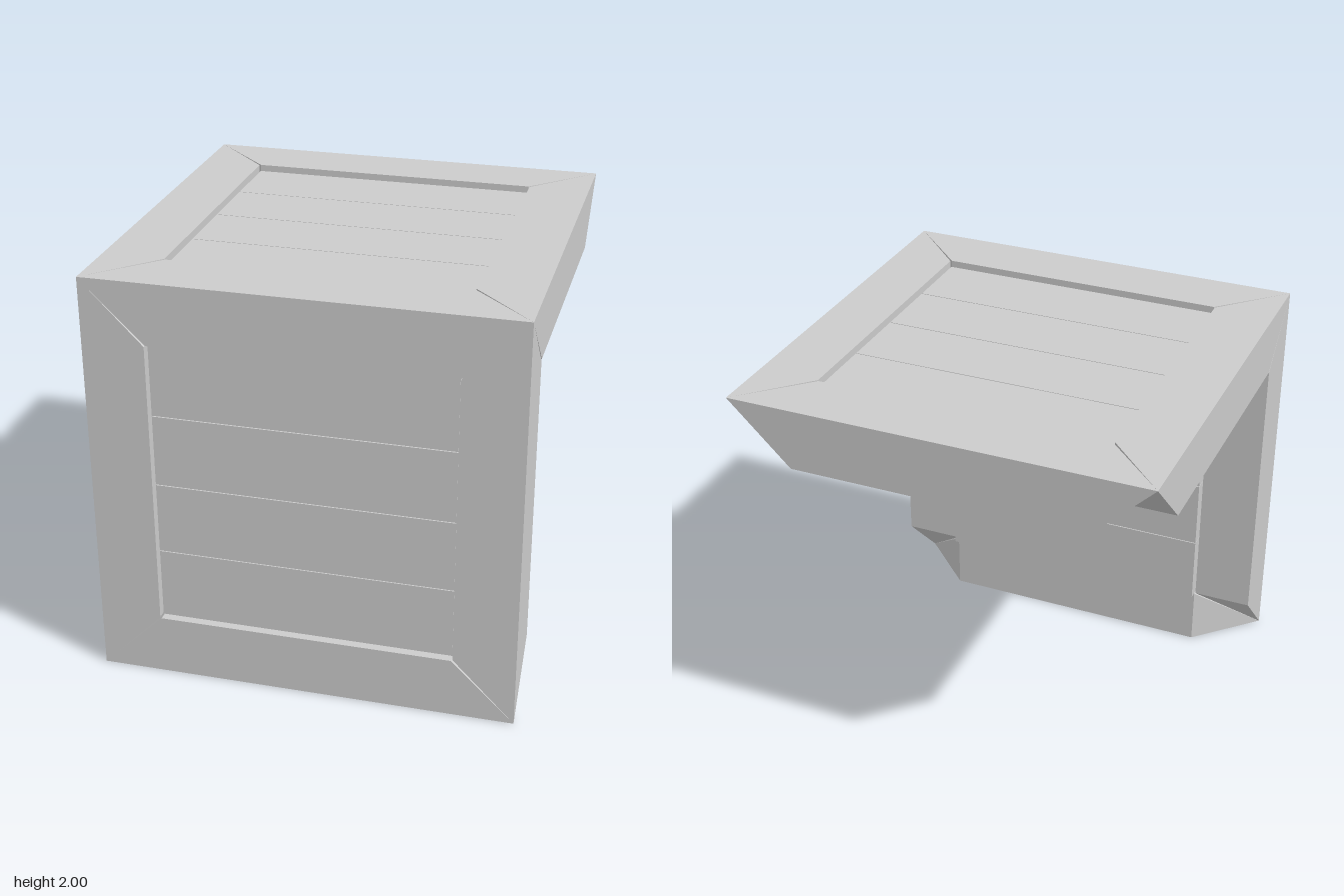
import * as THREE from 'three';
import { ConvexGeometry } from 'three/addons/geometries/ConvexGeometry.js';

const INNER = 0.706; // inner faces of the frame bars
const END = 0.7;     // where the inner edges of a bar stop
const RECESS = 0.97; // outer face of the planks
const BACK = 0.66;   // inner face of the planks

export function createModel() {
  const group = new THREE.Group();
  const material = new THREE.MeshStandardMaterial({ color: 0xcccccc, flatShading: true });

  const add = (name, geometry) => {
    const mesh = new THREE.Mesh(geometry, material);
    mesh.name = name;
    group.add(mesh);
    return mesh;
  };

  // Bar on one edge of a cube: the outer edge runs corner to corner,
  // the other three edges are shorter, which mitres both ends.
  const addBar = (name, axis, sideA, sideB) => {
    const points = [];
    for (const end of [-1, 1]) {
      for (const a of [1, INNER]) {
        for (const b of [1, INNER]) {
          const p = [0, 0, 0];
          p[axis] = end * (a === 1 && b === 1 ? 1 : END);
          p[(axis + 1) % 3] = sideA * a;
          p[(axis + 2) % 3] = sideB * b;
          points.push(new THREE.Vector3(p[0], p[1] + 1, p[2]));
        }
      }
    }
    add(name, new ConvexGeometry(points));
  };

  // Frame: bars across, posts, and top side rails
  addBar('topFrontBar', 0, 1, 1);
  addBar('topBackBar', 0, 1, -1);
  addBar('bottomFrontBar', 0, -1, 1);
  for (const [label, side] of [['left', 1], ['right', -1]]) {
    addBar(label + 'FrontPost', 1, 1, side);
    addBar(label + 'TopRail', 2, side, 1);
  }

  // Four planks fill each frame, slightly recessed outside and proud inside
  const pitch = (2 * END) / 4;
  const width = pitch - 0.004;
  const depth = RECESS - BACK;
  const middle = (RECESS + BACK) / 2;
  for (let i = 0; i < 4; i++) {
    const offset = -END + pitch * (i + 0.5);
    add('frontPlank', new THREE.BoxGeometry(2 * END, width, depth)).position.set(0, 1 + offset, middle);
    add('topPlank', new THREE.BoxGeometry(2 * END, depth, width)).position.set(0, 1 + middle, offset);
  }

  return group;
}
